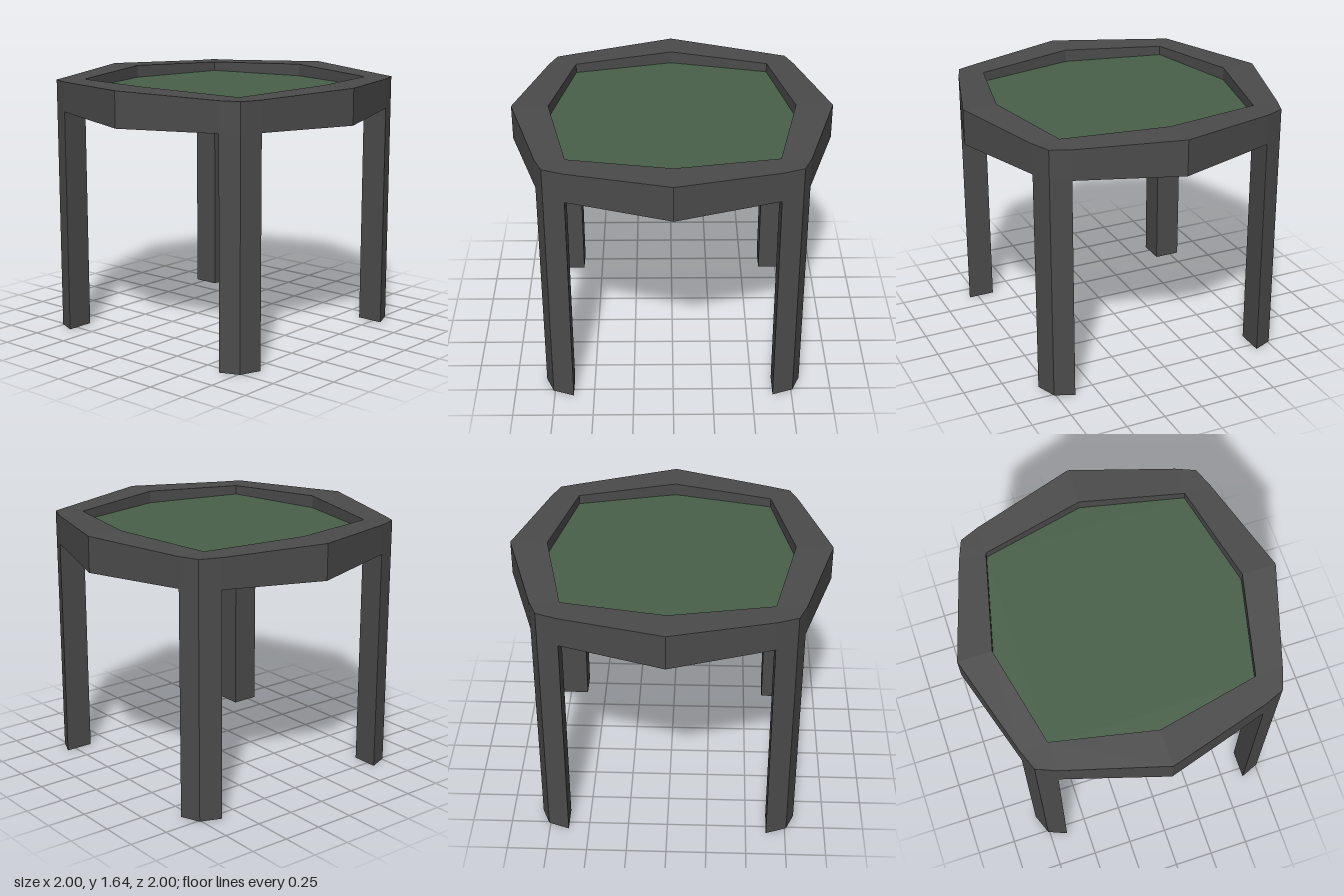
import * as THREE from 'three';

const frameGrey = new THREE.MeshStandardMaterial({ color: 0x4b4b4b, flatShading: true });
frameGrey.name = 'dark grey frame';
const panelGreen = new THREE.MeshStandardMaterial({ color: 0x486048, flatShading: true });
panelGreen.name = 'green top';

// Plan outlines, x and z
const AXES = [[1, 0], [0, 1], [-1, 0], [0, -1]];
const QUADRANTS = [[1, 1], [-1, 1], [-1, -1], [1, -1]];
const CORNER = [[0.81, 0.64], [0.76, 0.76], [0.63, 0.81]];
const INNER = [0.63, 0.64];
const INNER_X = 0.77, INNER_Z = 0.785;

// Vertical slab or post from a plan outline
function prism(name, outline, y, height, material) {
  const shape = new THREE.Shape(outline.map(([x, z]) => new THREE.Vector2(x, -z)));
  const geometry = new THREE.ExtrudeGeometry(shape, { depth: height, bevelEnabled: false });
  geometry.rotateX(-Math.PI / 2).translate(0, y, 0);
  const mesh = new THREE.Mesh(geometry, material);
  mesh.name = name;
  return mesh;
}

// Four-sided section of the rim: outer bottom, outer top, inner top, inner bottom
function section([ox, oz], [ix, iz], bottom, top) {
  return [[ox, bottom, oz], [ox, top, oz], [ix, top, iz], [ix, bottom, iz]]
    .map((p) => new THREE.Vector3(...p));
}

// Closed rim, taller in the middle of each side than at the corners
function buildRim() {
  const stations = [];
  QUADRANTS.forEach(([sx, sz], q) => {
    const [ax, az] = AXES[q];
    stations.push(section([ax, az], [ax * INNER_X, az * INNER_Z], 1.415, 1.64));
    const corner = sx * sz > 0 ? CORNER : [...CORNER].reverse();
    for (const [x, z] of corner) {
      stations.push(section([x * sx, z * sz], [INNER[0] * sx, INNER[1] * sz], 1.43, 1.62));
    }
  });
  const points = [];
  const triangle = (a, b, c) => {
    if (!a.equals(b) && !b.equals(c) && !c.equals(a)) points.push(a, b, c);
  };
  stations.forEach((s, i) => {
    const t = stations[(i + 1) % stations.length];
    for (let k = 0; k < 4; k++) {
      const n = (k + 1) % 4;
      triangle(s[k], s[n], t[n]);
      triangle(s[k], t[n], t[k]);
    }
  });
  const geometry = new THREE.BufferGeometry().setFromPoints(points);
  geometry.computeVertexNormals();
  const rim = new THREE.Mesh(geometry, frameGrey);
  rim.name = 'rim';
  return rim;
}

export function createModel() {
  const table = new THREE.Group();
  table.name = 'table';
  table.add(buildRim());

  // Recessed table top
  const outline = QUADRANTS.flatMap(([sx, sz], q) => [
    [AXES[q][0] * INNER_X, AXES[q][1] * INNER_Z],
    [INNER[0] * sx, INNER[1] * sz],
  ]);
  table.add(prism('topPanel', outline, 1.495, 0.065, panelGreen));

  // Legs flush with the rim corners
  const names = ['frontLeftLeg', 'frontRightLeg', 'backRightLeg', 'backLeftLeg'];
  QUADRANTS.forEach(([sx, sz], q) => {
    const foot = [INNER, ...CORNER].map(([x, z]) => [x * sx, z * sz]);
    table.add(prism(names[q], foot, 0, 1.43, frameGrey));
  });
  return table;
}
